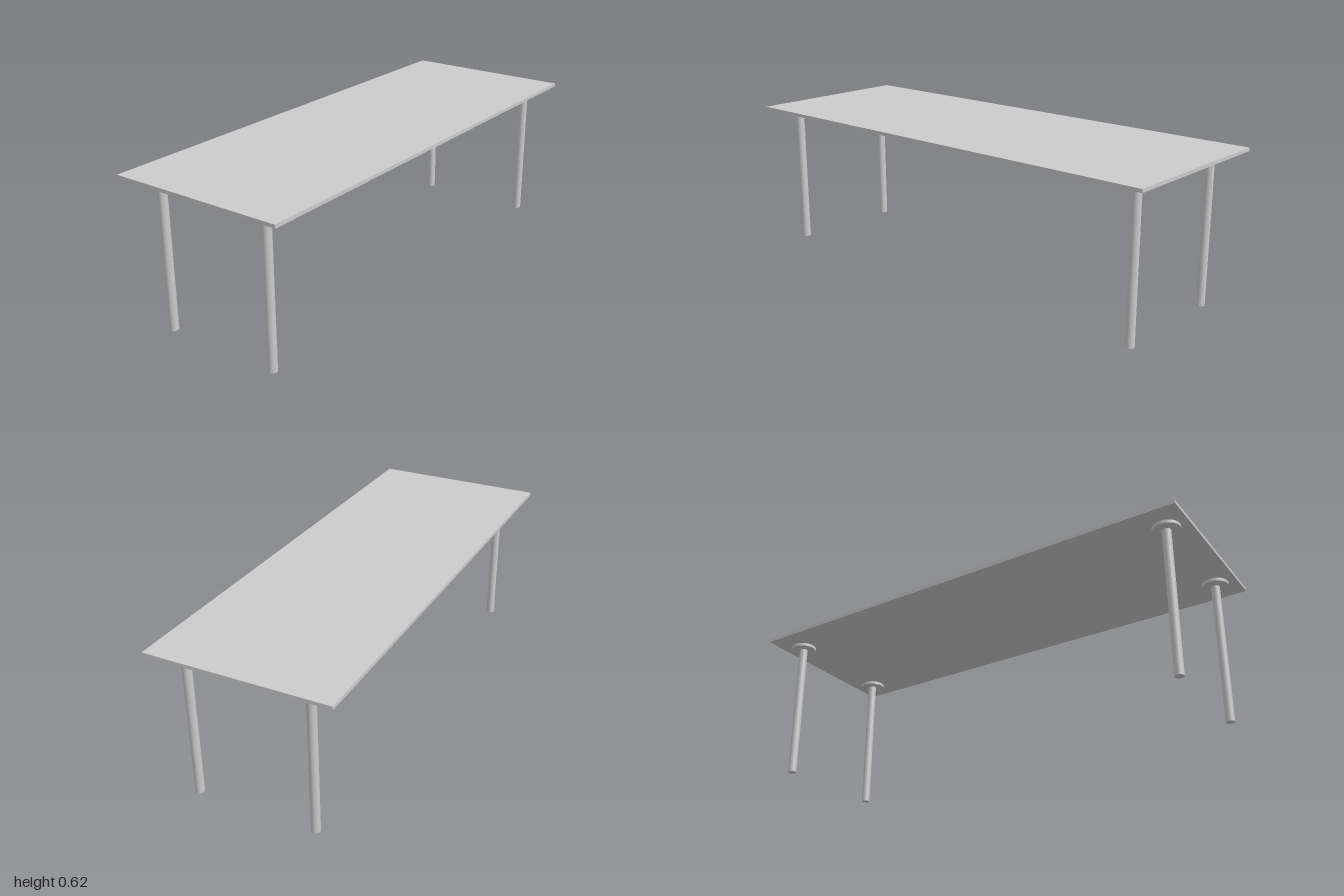
import * as THREE from 'three';

export function createModel() {
  const table = new THREE.Group();
  table.name = 'table';
  const material = new THREE.MeshStandardMaterial({ color: 0xcccccc });

  const add = (name, geometry, x, y, z) => {
    const mesh = new THREE.Mesh(geometry, material);
    mesh.name = name;
    mesh.position.set(x, y, z);
    table.add(mesh);
  };

  const topY = 0.625, topThickness = 0.014;
  const plateThickness = 0.013, plateRadius = 0.0545, legRadius = 0.018;
  const plateTop = topY - topThickness;
  const legHeight = plateTop - plateThickness;

  // Thin rectangular top
  add('tabletop', new THREE.BoxGeometry(2, topThickness, 0.74), 0, topY - topThickness / 2, 0);

  // Round legs, each under a mounting disc; the front pair sits slightly uneven
  const plate = new THREE.CylinderGeometry(plateRadius, plateRadius, plateThickness, 40);
  const leg = new THREE.CylinderGeometry(legRadius, legRadius, legHeight, 32);
  const corners = [
    { name: 'frontLeft', x: 0.909, legZ: 0.256, plateZ: 0.26 },
    { name: 'frontRight', x: -0.91, legZ: 0.252, plateZ: 0.25 },
    { name: 'backLeft', x: 0.909, legZ: -0.241, plateZ: -0.24 },
    { name: 'backRight', x: -0.91, legZ: -0.241, plateZ: -0.24 },
  ];
  for (const { name, x, legZ, plateZ } of corners) {
    add(name + 'MountingPlate', plate, x, plateTop - plateThickness / 2, plateZ);
    add(name + 'Leg', leg, x, legHeight / 2, legZ);
  }
  return table;
}
